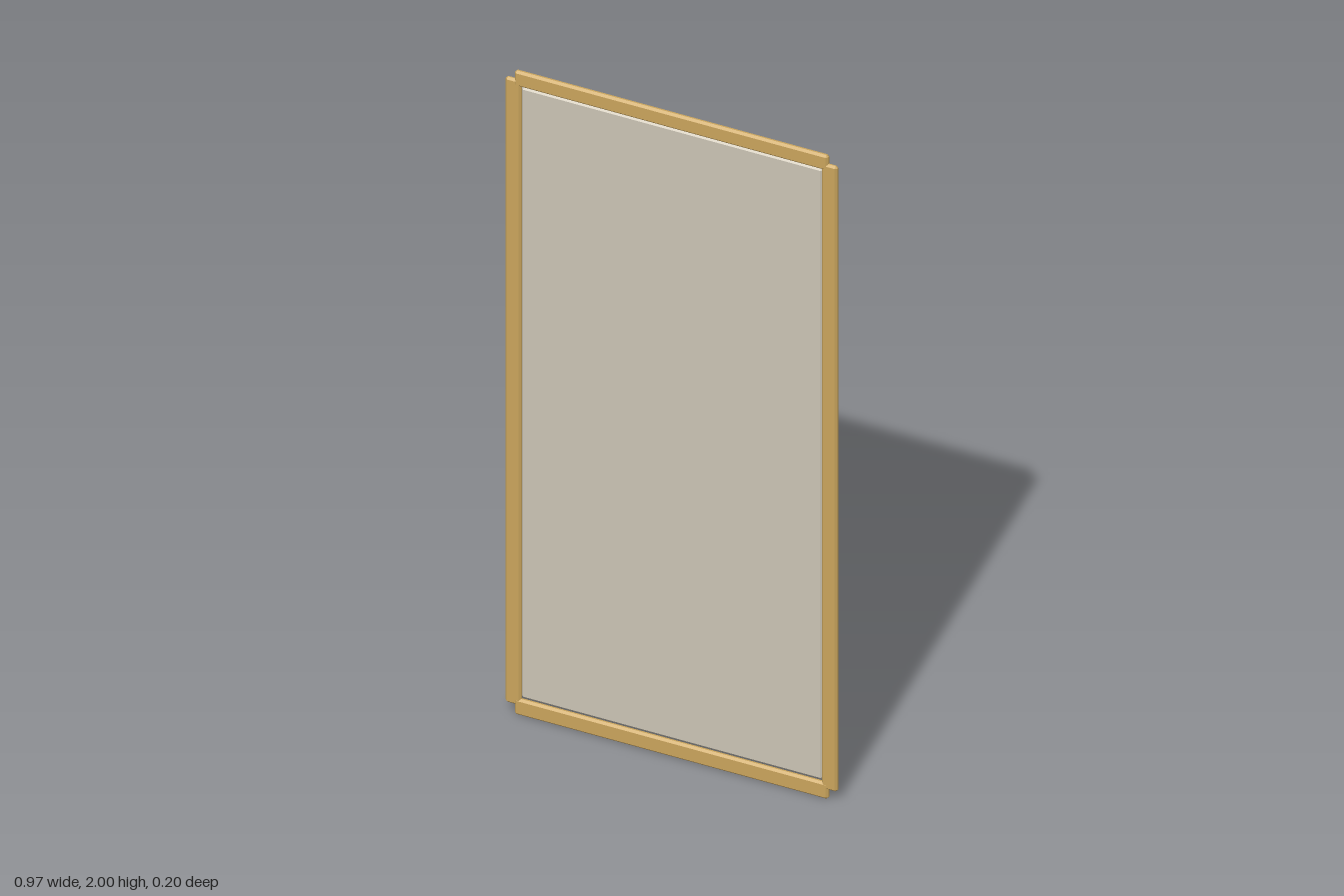
import * as THREE from 'three';
import { ConvexGeometry } from 'three/addons/geometries/ConvexGeometry.js';

const material = (name, color) => {
  const m = new THREE.MeshStandardMaterial({ color });
  m.name = name;
  return m;
};

// Box with every edge chamfered by c, given by its min and max on each axis
function chamferBox([x0, x1], [y0, y1], [z0, z1], c) {
  const half = [(x1 - x0) / 2, (y1 - y0) / 2, (z1 - z0) / 2];
  const points = [];
  for (const sx of [-1, 1]) for (const sy of [-1, 1]) for (const sz of [-1, 1]) {
    for (let full = 0; full < 3; full++) {
      const h = half.map((v, i) => (i === full ? v : v - c));
      points.push(new THREE.Vector3(sx * h[0], sy * h[1], sz * h[2]));
    }
  }
  return new ConvexGeometry(points).translate((x0 + x1) / 2, (y0 + y1) / 2, (z0 + z1) / 2);
}

function plainBox([x0, x1], [y0, y1], [z0, z1]) {
  return new THREE.BoxGeometry(x1 - x0, y1 - y0, z1 - z0)
    .translate((x0 + x1) / 2, (y0 + y1) / 2, (z0 + z1) / 2);
}

export function createModel() {
  const group = new THREE.Group();
  group.name = 'slidingPanel';
  const gold = material('gold frame', 0xc9a45c);
  const stone = material('stone panel', 0xcbc4b4);
  const pale = material('pale trim', 0xddd8c8);
  const tan = material('tan rail', 0xcbb48c);
  const dark = material('dark belt', 0x45454a);
  const brown = material('brown housing', 0x9a755f);
  const teal = material('teal light', 0x82cdbf);

  const add = (name, geometry, mat) => {
    const mesh = new THREE.Mesh(geometry, mat);
    mesh.name = name;
    group.add(mesh);
    return mesh;
  };

  // Panel with a bevelled edge and a paler backing step
  add('panel', chamferBox([-0.443, 0.443], [0.052, 1.952], [0.072, 0.094], 0.007), stone);

  // Frame bars: the long sides stop short of the top and bottom bars
  for (const s of [-1, 1]) {
    const xs = [s * 0.441, s * 0.487].sort((a, b) => a - b);
    add('frameSide', chamferBox(xs, [0.03, 1.973], [0.084, 0.0995], 0.006), gold);
  }
  for (const ys of [[0, 0.05], [1.953, 2]]) {
    add('frameEnd', chamferBox([-0.46, 0.46], ys, [0.083, 0.1], 0.006), gold);
  }

  // Thin trim strips and corner pegs on the back
  for (const y of [0.095, 1.905]) {
    add('trimAcross', plainBox([-0.386, 0.386], [y - 0.006, y + 0.006], [0.064, 0.074]), pale);
    for (const x of [-0.4, 0.4]) {
      const peg = new THREE.CylinderGeometry(0.015, 0.015, 0.014, 8).toNonIndexed();
      peg.rotateX(Math.PI / 2).translate(x, y, 0.067);
      peg.computeVertexNormals();
      add('cornerPeg', peg, tan);
    }
  }
  for (const x of [-0.4, 0.4]) {
    add('trimUpright', plainBox([x - 0.006, x + 0.006], [0.109, 1.891], [0.066, 0.074]), pale);
  }

  // Two guide rails
  for (const x of [-0.122, 0.122]) {
    add('guideRail', chamferBox([x - 0.017, x + 0.017], [0.225, 1.93], [0.026, 0.074], 0.007), tan);
  }

  // Central track with its dark belt
  add('track', chamferBox([-0.062, 0.062], [0.22, 1.92], [0.037, 0.074], 0.008), pale);
  add('belt', plainBox([-0.052, 0.052], [0.23, 1.908], [0.034, 0.039]), dark);
  add('beltEnd', plainBox([-0.04, 0.04], [1.918, 1.923], [0.049, 0.061]), dark);

  // Carriage housing with a light bar on its back
  add('housing', chamferBox([-0.157, 0.157], [0.22, 0.402], [-0.085, 0.043], 0.027), brown);
  add('lightBar', plainBox([-0.12, 0.12], [0.295, 0.332], [-0.104, -0.08]), teal);

  return group;
}
